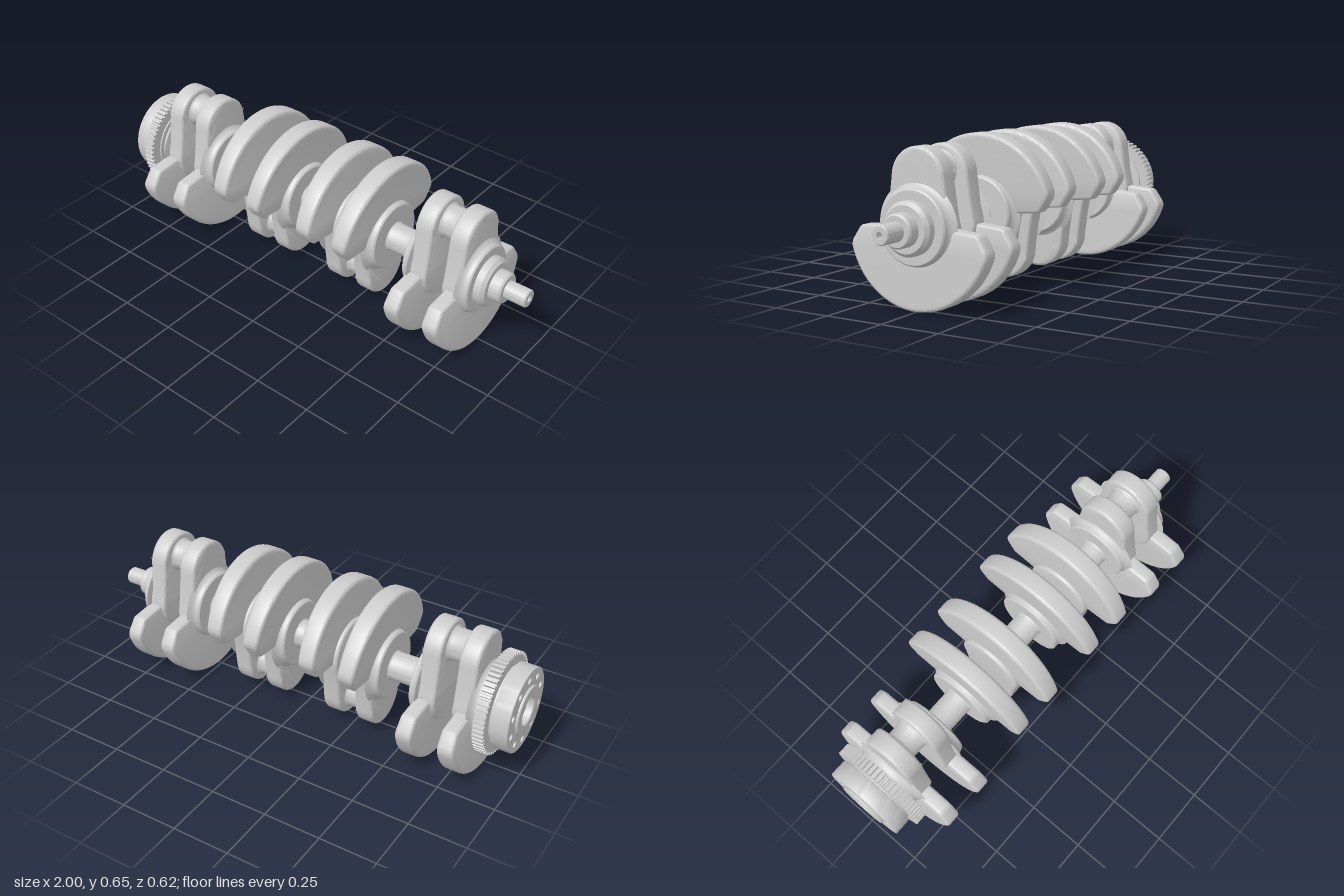
import * as THREE from 'three';
import { toCreasedNormals } from 'three/addons/utils/BufferGeometryUtils.js';

const AXIS = 0.323; // height of the shaft axis, also the counterweight radius
const material = new THREE.MeshStandardMaterial({ color: 0xcccccc });

function part(name, geometry, crease = 0.6) {
  const mesh = new THREE.Mesh(toCreasedNormals(geometry, crease), material);
  mesh.name = name;
  return mesh;
}

// Turned part along x; profile is a list of [radius, x]
function turned(name, profile, segments = 64) {
  const points = profile.map(([r, x]) => new THREE.Vector2(r, x));
  return part(name, new THREE.LatheGeometry(points, segments).rotateZ(-Math.PI / 2));
}

// Outline in the z-y plane, extruded from x0 to x1 with rounded edges
function plate(shape, x0, x1, bevel, curveSegments = 32) {
  const geometry = new THREE.ExtrudeGeometry(shape, {
    depth: x1 - x0 - 2 * bevel, curveSegments, bevelEnabled: bevel > 0,
    bevelSize: bevel, bevelThickness: bevel, bevelOffset: -bevel, bevelSegments: 4,
  });
  return geometry.translate(0, 0, x0 + bevel).rotateY(Math.PI / 2);
}

function armShape() {
  const s = new THREE.Shape();
  s.absarc(0, 0, 0.15, Math.PI, 2 * Math.PI, false);
  s.quadraticCurveTo(0.133, 0.07, 0.118, 0.203);
  s.absarc(0, 0.182, 0.12, 0.17, Math.PI - 0.17, false);
  s.quadraticCurveTo(-0.133, 0.07, -0.15, 0);
  return s;
}

function counterweightShape() {
  const s = new THREE.Shape();
  const a = 0.31; // angle below horizontal where the rim begins
  s.moveTo(0.14, -0.001);
  s.lineTo(-0.14, -0.001);
  s.lineTo(-0.258, -0.012);
  s.quadraticCurveTo(-0.268, -0.014, -0.274, -0.023);
  s.lineTo(-0.3, -0.063);
  s.quadraticCurveTo(-0.311, -0.08, -AXIS * Math.cos(a), -AXIS * Math.sin(a));
  s.absarc(0, 0, AXIS, Math.PI + a, 2 * Math.PI - a, false);
  s.quadraticCurveTo(0.311, -0.08, 0.3, -0.063);
  s.lineTo(0.274, -0.023);
  s.quadraticCurveTo(0.268, -0.014, 0.258, -0.012);
  s.closePath();
  return s;
}

// One web: arm to the crank pin, counterweight and hub, outward along +x
function web() {
  const group = new THREE.Group();
  group.name = 'web';
  group.add(part('crankArm', plate(armShape(), 0.038, 0.12, 0.013)));

  // Counterweight gets thicker towards its rim
  const weight = plate(counterweightShape(), 0.055, 0.145, 0.016);
  const p = weight.attributes.position;
  for (let i = 0; i < p.count; i++) {
    const t = THREE.MathUtils.clamp(-p.getY(i) / AXIS, 0, 1);
    p.setX(i, 0.055 + (p.getX(i) - 0.055) * (0.74 + 0.26 * t));
  }
  group.add(part('counterweight', weight));

  group.add(turned('hub', [
    [0.15, 0.108], [0.178, 0.112], [0.163, 0.121], [0.153, 0.129], [0.149, 0.138],
    [0.147, 0.149], [0.141, 0.155], [0.07, 0.155], [0, 0.155],
  ]));
  return group;
}

// Two mirrored webs joined by a crank pin
function crankThrow(x, flipped) {
  const group = new THREE.Group();
  group.name = 'crankThrow';
  const right = web(), left = web();
  left.rotation.y = Math.PI;
  const pin = turned('crankPin', [
    [0.08, -0.042], [0.073, -0.035], [0.068, -0.027],
    [0.068, 0.027], [0.073, 0.035], [0.08, 0.042],
  ], 48);
  pin.position.y = 0.203;
  group.add(right, left, pin);
  group.position.x = x;
  if (flipped) group.rotation.x = Math.PI;
  return group;
}

function toothedRing() {
  const s = new THREE.Shape();
  const teeth = 60, step = (2 * Math.PI) / teeth;
  for (let i = 0; i < teeth; i++) {
    [[0, 0.204], [0.1, 0.217], [0.55, 0.217], [0.65, 0.204]].forEach(([f, r], k) => {
      const a = (i + f) * step;
      const x = r * Math.cos(a), y = r * Math.sin(a);
      if (i + k === 0) s.moveTo(x, y); else s.lineTo(x, y);
    });
  }
  s.closePath();
  return part('toothedRing', plate(s, -0.905, -0.857, 0), 0.3);
}

function flange() {
  const group = new THREE.Group();
  group.name = 'flange';
  const s = new THREE.Shape().absarc(0, 0, 0.18, 0, 2 * Math.PI, false);
  const hole = (x, y, r) => s.holes.push(new THREE.Path().absarc(x, y, r, 0, 2 * Math.PI, true));
  hole(0, 0, 0.075);
  for (let i = 0; i < 10; i++) {
    const a = (i + 0.5) * Math.PI / 5;
    hole(0.142 * Math.cos(a), 0.142 * Math.sin(a), 0.014);
  }
  group.add(part('flangeDisc', plate(s, -0.99, -0.915, 0.004)));
  // Raised lip with a stepped centre bore
  group.add(turned('flangeLip', [
    [0, -0.93], [0.038, -0.93], [0.038, -0.97], [0.06, -0.97], [0.06, -0.996],
    [0.064, -1], [0.103, -1], [0.107, -0.996], [0.107, -0.98],
  ]));
  group.add(turned('flangeCollar', [
    [0, -0.925], [0.165, -0.925], [0.165, -0.85], [0, -0.85],
  ]));
  return group;
}

export function createModel() {
  const model = new THREE.Group();
  model.name = 'crankshaft';
  const shaft = new THREE.Group();
  shaft.position.y = AXIS;
  shaft.name = 'shaft';
  model.add(shaft);

  const centres = [-0.7, -0.25, 0.205, 0.653];
  centres.forEach((x, i) => shaft.add(crankThrow(x, i === 1 || i === 2)));

  // Main journals between the throws
  for (let i = 0; i < 3; i++) {
    const a = centres[i] + 0.153, b = centres[i + 1] - 0.153;
    shaft.add(turned('mainJournal', [
      [0.069, a], [0.064, a + 0.004], [0.0615, a + 0.011],
      [0.0615, b - 0.011], [0.064, b - 0.004], [0.069, b],
    ], 48));
  }

  shaft.add(toothedRing(), flange());

  // Stepped nose with a centre hole
  shaft.add(turned('nose', [
    [0.105, 0.8], [0.105, 0.838], [0.091, 0.853], [0.066, 0.853],
    [0.066, 0.897], [0.059, 0.905], [0.038, 0.905],
    [0.038, 0.995], [0.034, 1], [0.013, 1], [0.013, 0.95], [0, 0.95],
  ]));
  return model;
}
